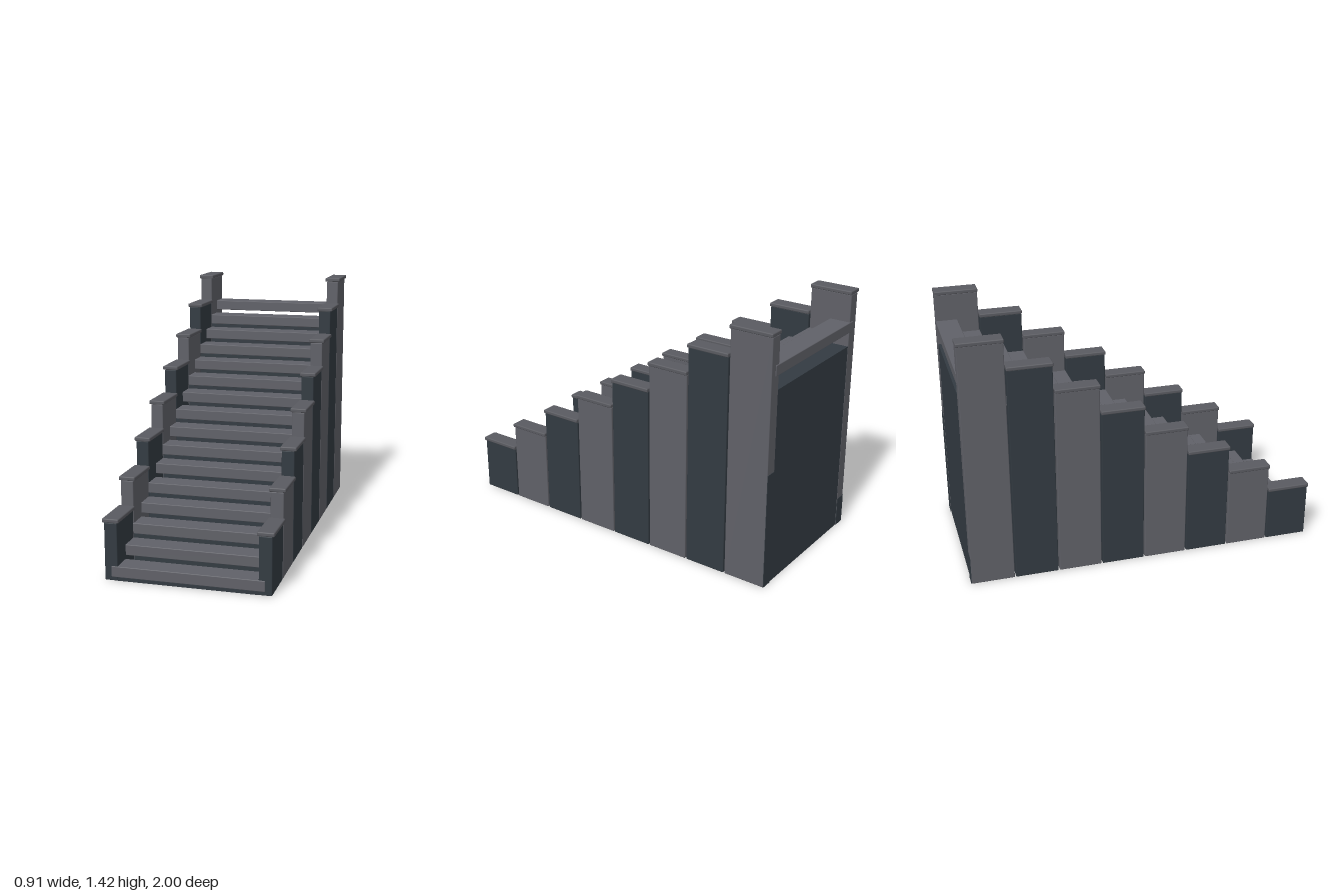
import * as THREE from 'three';
import { RoundedBoxGeometry } from 'three/addons/geometries/RoundedBoxGeometry.js';

const MODULES = 8, DEPTH = 0.25, RISE = 0.156;

function material(name, color) {
  const m = new THREE.MeshStandardMaterial({ color });
  m.name = name;
  return m;
}

// Box given by its bounds, with slightly worn edges when bevel > 0
function block(name, mat, [x0, x1], [y0, y1], [z0, z1], bevel = 0) {
  const size = [x1 - x0, y1 - y0, z1 - z0];
  const geo = bevel
    ? new RoundedBoxGeometry(...size, 1, bevel)
    : new THREE.BoxGeometry(...size);
  const mesh = new THREE.Mesh(geo, mat);
  mesh.name = name;
  mesh.position.set((x0 + x1) / 2, (y0 + y1) / 2, (z0 + z1) / 2);
  return mesh;
}

export function createModel() {
  const model = new THREE.Group();
  model.name = 'staircase';
  const grey = material('grey stone', 0x606168);
  const dark = material('dark slate', 0x333b42);
  const trim = material('cap stone', 0x5a5b61);

  for (let i = 0; i < MODULES; i++) {
    const section = new THREE.Group();
    section.name = 'stairSection';
    const front = 1 - i * DEPTH, back = front - DEPTH, base = i * RISE;

    // Solid core under the treads
    section.add(block('core', dark, [-0.38, 0.38], [0, base + 0.018], [back + 0.006, front - 0.006]));

    // Two treads with an open shadow gap below the upper one
    for (let k = 0; k < 2; k++) {
      const y = base + 0.02 + k * RISE / 2, z = front - k * DEPTH / 2;
      section.add(block('tread', grey, [-0.41, 0.41], [y, y + 0.059], [z - DEPTH / 2, z], 0.004));
    }

    // Side pillars in alternating colours, each with a cap
    const top = base + 0.311;
    for (const side of [-1, 1]) {
      const span = (a, b) => (side > 0 ? [a, b] : [-b, -a]);
      section.add(block('pillar', i % 2 ? grey : dark, span(0.376, 0.446), [0, top], [back + 0.004, front - 0.004], 0.004));
      section.add(block('pillarCap', trim, span(0.366, 0.457), [top, top + 0.022], [back + 0.001, front - 0.001], 0.006));
    }
    model.add(section);
  }

  // Dark facing at the foot of the rear pillars
  model.add(block('leftRearFacing', dark, [0.378, 0.444], [0, 0.66], [-0.998, -0.994]));
  model.add(block('rightRearFacing', dark, [-0.444, -0.378], [0, 0.17], [-0.998, -0.994]));
  return model;
}
